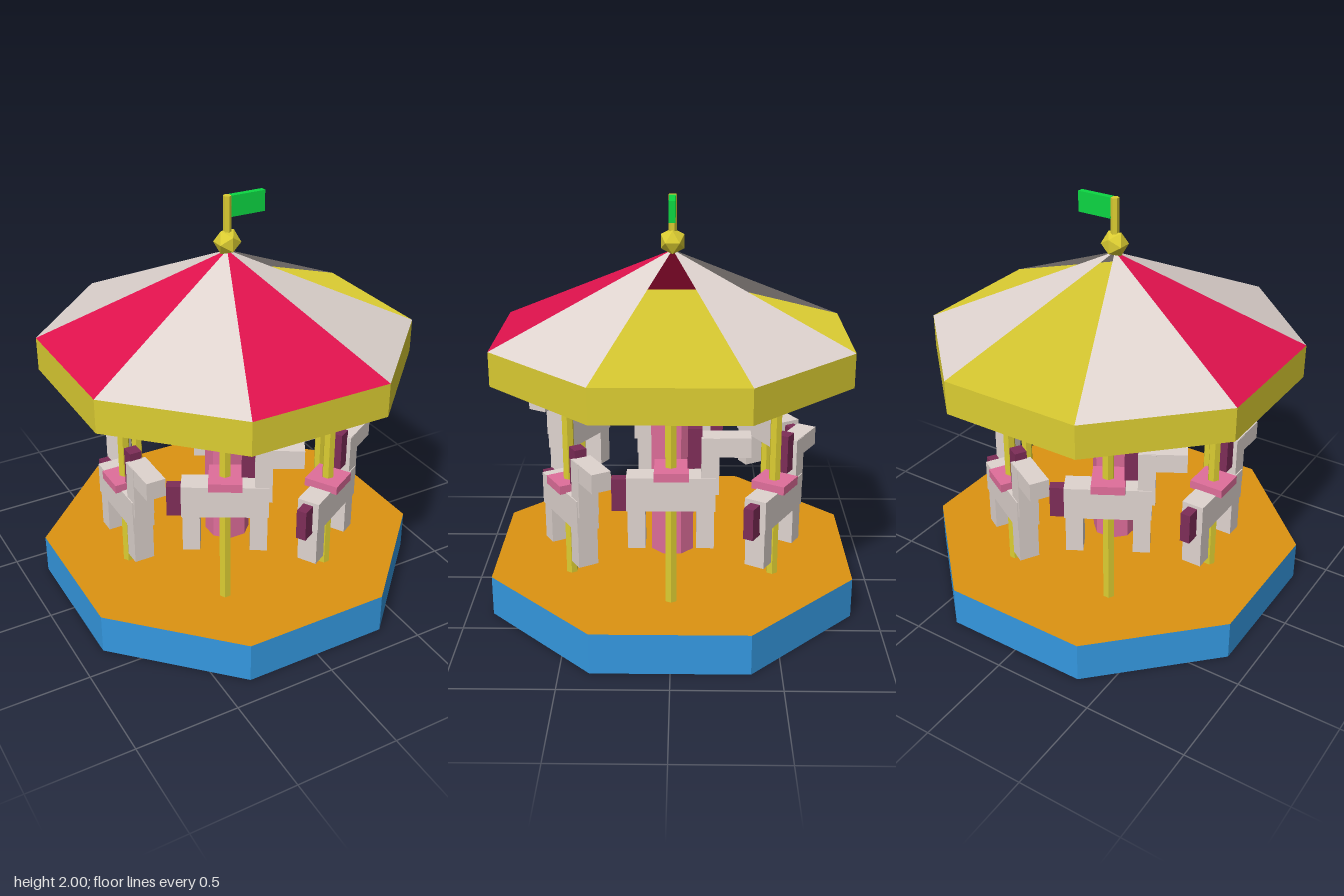
import * as THREE from 'three';

function mat(name, color, side = THREE.FrontSide) {
  return new THREE.MeshStandardMaterial({ name, color, side, flatShading: true });
}

export function createModel() {
  const yellow = mat('yellow', 0xdccd32);
  const blue = mat('blue', 0x3498e0);
  const orange = mat('orange', 0xdd9311);
  const red = mat('red', 0xe0124d, THREE.DoubleSide);
  const cream = mat('cream', 0xdfd4cf, THREE.DoubleSide);
  const pink = mat('pink', 0xe06e9b);
  const plum = mat('plum', 0x7e2d58);
  const green = mat('green', 0x0cd642);

  const model = new THREE.Group();
  model.name = 'carousel';

  function add(parent, name, geometry, material) {
    const mesh = new THREE.Mesh(geometry, material);
    mesh.name = name;
    parent.add(mesh);
    return mesh;
  }

  // Box given by its minimum and maximum corners
  function box(parent, name, material, min, max) {
    const size = max.map((v, i) => v - min[i]);
    const mesh = add(parent, name, new THREE.BoxGeometry(...size), material);
    mesh.position.set(...max.map((v, i) => (v + min[i]) / 2));
    return mesh;
  }

  // Octagonal prism with flat sides facing the axes
  function octagon(name, apothem, y0, y1, material) {
    const r = apothem / Math.cos(Math.PI / 8);
    const geometry = new THREE.CylinderGeometry(r, r, y1 - y0, 8);
    geometry.rotateY(Math.PI / 8).translate(0, (y0 + y1) / 2, 0);
    return add(model, name, geometry, material);
  }

  function pole(parent, name, r, y0, y1) {
    const geometry = new THREE.CylinderGeometry(r, r, y1 - y0, 6);
    geometry.translate(0, (y0 + y1) / 2, 0);
    return add(parent, name, geometry, yellow);
  }

  // Base, centre column and canopy rim
  octagon('platform', 0.875, 0, 0.2, [blue, orange, blue]);
  octagon('centreColumn', 0.105, 0.2, 1.175, pink);
  octagon('canopyRim', 0.835, 1.175, 1.34, yellow);

  // Canopy panels: two of the eight bays are left open
  const panels = [red, cream, null, cream, null, cream, red, cream];
  const canopyRadius = 0.835 / Math.cos(Math.PI / 8);
  panels.forEach((material, k) => {
    if (!material) return;
    const start = (k - 0.5) * Math.PI / 4;
    const geometry = new THREE.ConeGeometry(canopyRadius, 0.4, 1, 1, true, start, Math.PI / 4);
    geometry.translate(0, 1.54, 0);
    add(model, 'canopyPanel', geometry, material);
  });

  // Finial, flagpole and flag
  add(model, 'finial', new THREE.IcosahedronGeometry(0.065, 0), yellow).position.y = 1.78;
  pole(model, 'flagpole', 0.02, 1.74, 2);
  box(model, 'flag', green, [0.015, 1.9, -0.015], [0.19, 2, 0.015]);

  // One horse, facing local +x; y = 0 is the underside of its body
  function makeHorse() {
    const horse = new THREE.Group();
    horse.name = 'horse';
    box(horse, 'body', cream, [-0.2, 0, -0.055], [0.2, 0.16, 0.055]);
    for (const x of [-0.155, 0.155]) {
      box(horse, 'legs', cream, [x - 0.04, -0.185, -0.05], [x + 0.04, 0.01, 0.05]);
    }
    box(horse, 'neck', cream, [0.135, 0.08, -0.05], [0.215, 0.35, 0.05]);
    box(horse, 'head', cream, [0.145, 0.26, -0.048], [0.355, 0.352, 0.048]);
    box(horse, 'mane', plum, [0.075, 0.2, -0.03], [0.14, 0.388, 0.03]);
    box(horse, 'tail', plum, [-0.268, -0.013, -0.025], [-0.19, 0.143, 0.025]);
    box(horse, 'saddle', pink, [-0.075, 0.155, -0.085], [0.08, 0.197, 0.085]);
    return horse;
  }

  // Six riding poles with horses at alternating heights
  for (let k = 0; k < 6; k++) {
    const angle = Math.PI / 6 + k * Math.PI / 3;
    const ride = new THREE.Group();
    ride.name = 'ride';
    ride.position.set(0.565 * Math.sin(angle), 0, 0.565 * Math.cos(angle));
    ride.rotation.y = angle;
    pole(ride, 'ridingPole', 0.029, 0.2, 1.175);
    const horse = makeHorse();
    horse.position.y = k % 2 ? 0.68 : 0.5;
    ride.add(horse);
    model.add(ride);
  }

  return model;
}
